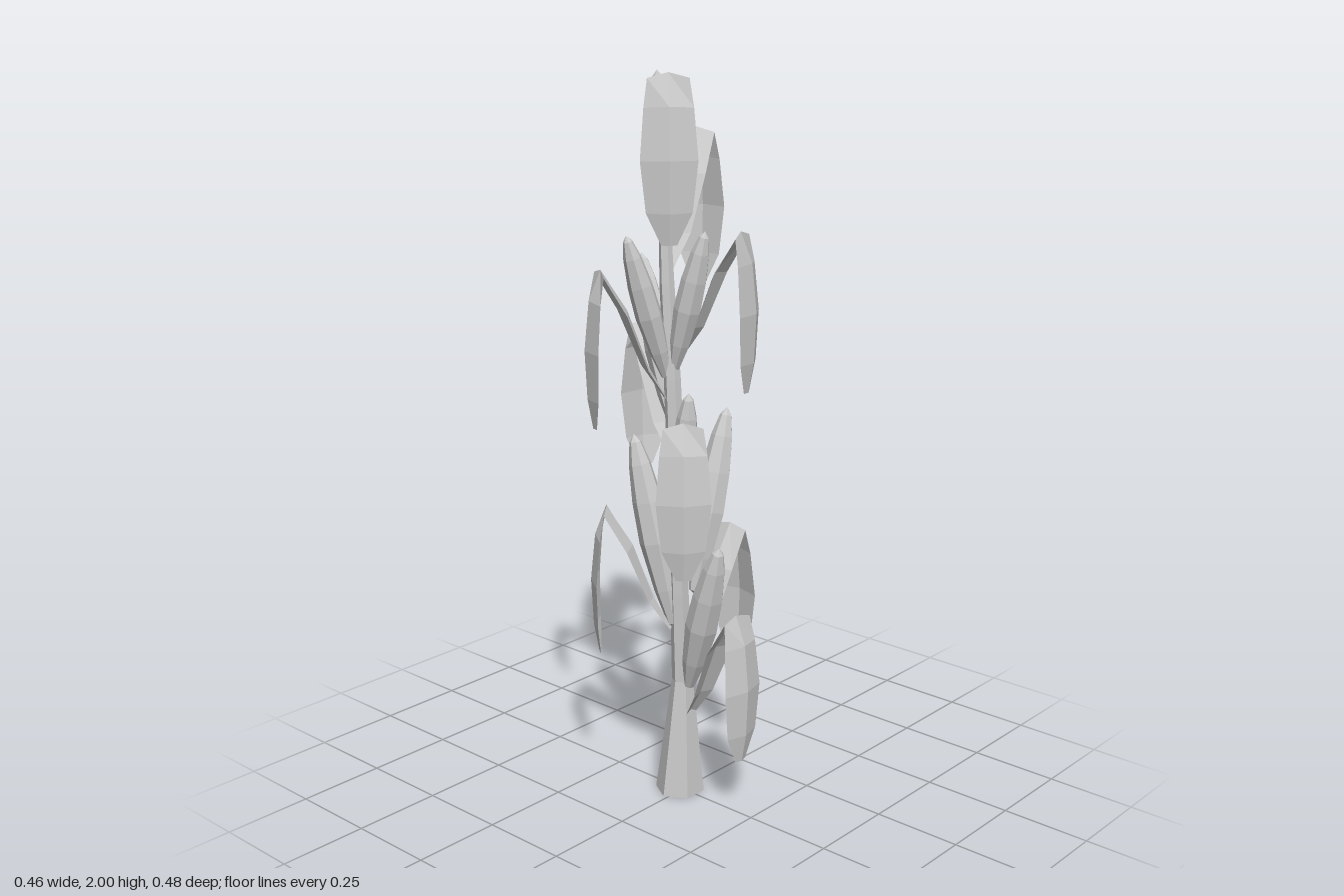
import * as THREE from 'three';

const material = new THREE.MeshStandardMaterial({ color: 0xcccccc, flatShading: true, side: THREE.DoubleSide });

// Joins equal-length rows of points into a faceted surface
function loft(rows, closed) {
  const n = rows[0].length, index = [];
  for (let i = 0; i < rows.length - 1; i++) {
    for (let j = 0; j < (closed ? n : n - 1); j++) {
      const k = (j + 1) % n, a = i * n, b = a + n;
      index.push(a + j, b + j, a + k, a + k, b + j, b + k);
    }
  }
  const g = new THREE.BufferGeometry();
  g.setAttribute('position', new THREE.Float32BufferAttribute(rows.flat(2), 3));
  g.setIndex(index);
  g.computeVertexNormals();
  return g;
}

// Six-sided stalk with a flared foot; rings are [y, x, z, radius]
function stalkGeometry() {
  const rings = [
    [0, -0.012, 0, 0.069], [0.34, -0.002, 0, 0.03], [0.6, 0, 0.015, 0.026], [0.85, 0, 0.022, 0.025],
    [1.2, -0.018, 0.022, 0.023], [1.45, -0.038, 0.02, 0.02], [1.62, -0.05, 0.015, 0.016], [1.72, -0.06, 0.013, 0.01], [1.73, -0.06, 0.013, 0],
  ];
  return loft(rings.map(([y, x, z, r]) => Array.from({ length: 6 }, (_, j) => {
    const a = -j * Math.PI / 3;
    return [x + r * Math.sin(a), y, z + r * Math.cos(a)];
  })), true);
}

// Arched, drooping blade along +x with a raised midrib; stations are [reach, height, half width]
function leafGeometry() {
  const s = [
    [0.015, 0, 0.016], [0.065, 0.09, 0.04], [0.12, 0.24, 0.055], [0.19, 0.35, 0.052],
    [0.222, 0.27, 0.062], [0.235, 0.14, 0.072], [0.229, 0.01, 0.058], [0.215, -0.07, 0.02],
  ];
  return loft(s.map(([x, y, w], i) => {
    const p = s[Math.max(i - 1, 0)], q = s[Math.min(i + 1, s.length - 1)];
    const dx = q[0] - p[0], dy = q[1] - p[1], d = 0.27 * w / Math.hypot(dx, dy);
    const ex = x + dy * d, ey = y - dx * d;
    return [[ex, ey, -w], [x, y, 0], [ex, ey, w]];
  }), false);
}

// Spindle-shaped ear of unit length and unit radius
const earGeometry = new THREE.LatheGeometry(
  [[0, 0], [0.35, 0.02], [0.72, 0.2], [1, 0.45], [0.92, 0.66], [0.66, 0.85], [0.35, 0.96], [0, 1]]
    .map(([r, y]) => new THREE.Vector2(r, y)), 7);

// Each shoot: leaf base height, outermost leaf point [x, z], leaf heading in degrees, ear base, ear tip, ear radius
const shoots = [
  [0.23, [0.235, 0], 0, [0.02, 0.32, 0], [0.155, 0.77, 0.03], 0.046],
  [0.40, [0, -0.243], -90, [0, 0.58, -0.045], [0.01, 1.09, -0.17], 0.046],
  [0.50, [-0.18, 0.175], 139, [-0.015, 0.5, 0.02], [-0.12, 1.04, 0.065], 0.046],
  [0.78, [0.16, 0.175], 45, [0, 0.74, 0.02], [0.065, 1.18, 0.05], 0.04],
  [0.98, [-0.22, -0.075], 202, [-0.02, 1.06, 0.01], [-0.185, 1.51, -0.04], 0.04],
  [1.25, [0.195, -0.065], -20, [-0.015, 1.22, 0.02], [0.085, 1.6, 0.01], 0.037],
  [1.15, [-0.145, 0.22], 122, [-0.03, 1.2, 0.03], [-0.06, 1.59, 0.15], 0.036],
  [1.49, [-0.105, -0.198], -106, [-0.045, 1.55, 0.01], [-0.06, 1.83, -0.075], 0.029],
  [1.65, [0.105, 0.165], 43, [-0.055, 1.62, 0.015], [-0.015, 2, 0.08], 0.032],
];

export function createModel() {
  const model = new THREE.Group();
  model.name = 'cornPlant';
  const add = (geometry, name) => {
    const mesh = new THREE.Mesh(geometry, material);
    mesh.name = name;
    model.add(mesh);
    return mesh;
  };
  add(stalkGeometry(), 'stalk');

  // Leaves and ears spiral up the stalk
  const blade = leafGeometry();
  const up = new THREE.Vector3(0, 1, 0);
  shoots.forEach(([y, [x, z], degrees, base, tip, radius], i) => {
    const a = THREE.MathUtils.degToRad(degrees);
    const leaf = add(blade, `leaf${i + 1}`);
    leaf.position.set(x - 0.235 * Math.cos(a), y, z - 0.235 * Math.sin(a));
    leaf.rotation.y = -a;

    const ear = add(earGeometry, `ear${i + 1}`);
    ear.position.set(...base);
    const axis = new THREE.Vector3(...tip).sub(ear.position);
    ear.scale.set(radius, axis.length(), radius);
    ear.quaternion.setFromUnitVectors(up, axis.normalize());
  });
  return model;
}
